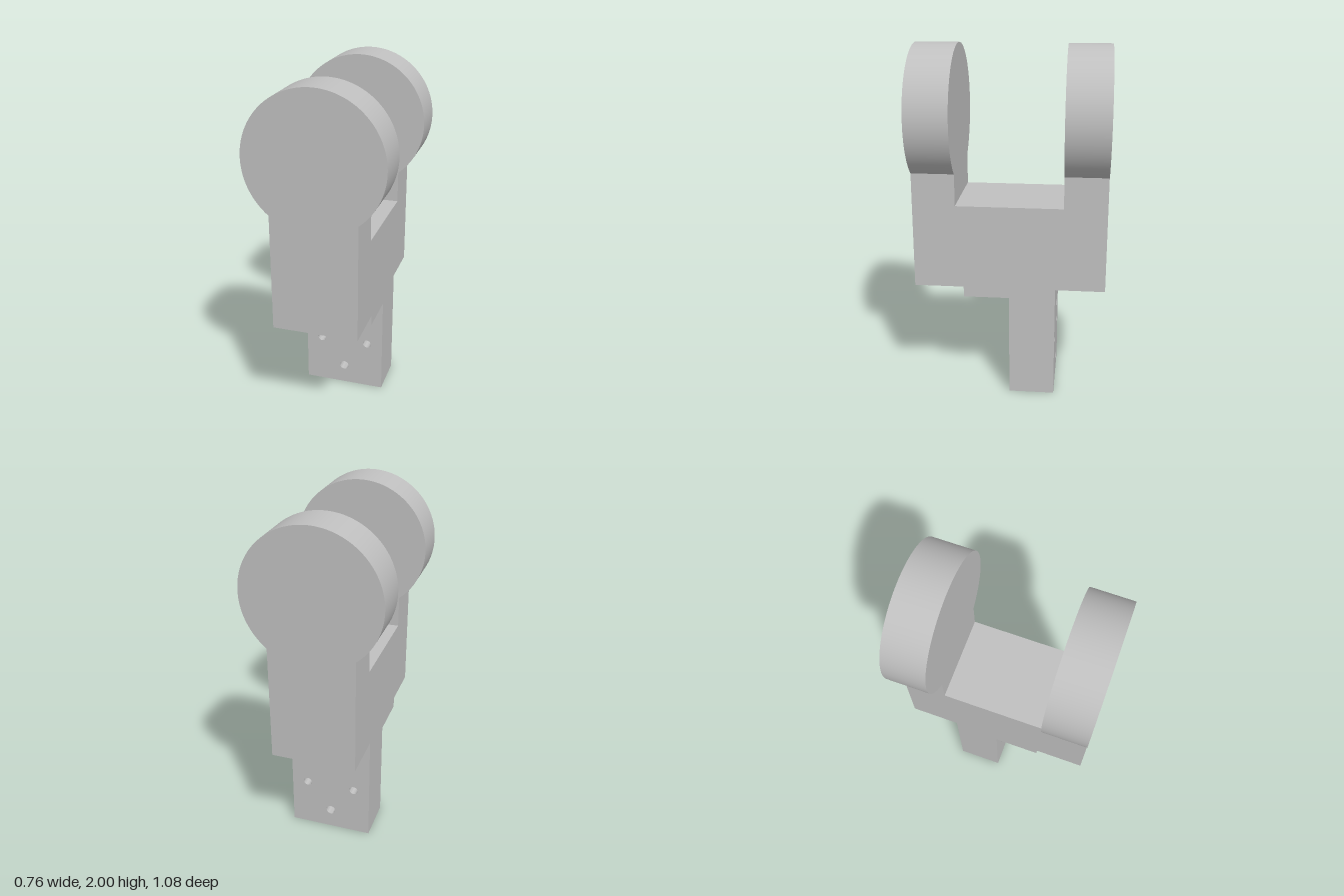
import * as THREE from 'three';
import { toCreasedNormals } from 'three/addons/utils/BufferGeometryUtils.js';

const HALF_WIDTH = 0.24;

export function createModel() {
  const model = new THREE.Group();
  model.name = 'forkBracket';
  const grey = new THREE.MeshStandardMaterial({ color: 0xc0c0c0 });
  grey.name = 'plain grey';

  const add = (name, geometry, x, y, z) => {
    const mesh = new THREE.Mesh(geometry, grey);
    mesh.name = name;
    mesh.position.set(x, y, z);
    model.add(mesh);
  };
  // Extrusion along z with smooth curved walls and sharp edges
  const extrude = (shape, depth, curveSegments) => toCreasedNormals(
    new THREE.ExtrudeGeometry(shape, { depth, curveSegments, bevelEnabled: false }), 0.6);

  // Fork arms: straight shank running into a round head
  const radius = 0.382, centreY = 1.618;
  const joinAngle = Math.acos(HALF_WIDTH / radius);
  const arm = new THREE.Shape();
  arm.moveTo(-HALF_WIDTH, 0.66);
  arm.lineTo(HALF_WIDTH, 0.66);
  arm.absarc(0, centreY, radius, -joinAngle, Math.PI + joinAngle, false);
  arm.closePath();
  const armGeometry = extrude(arm, 0.24, 72);
  add('frontArm', armGeometry, 0, 0, 0.3);
  add('backArm', armGeometry, 0, 0, -0.54);

  // Bridge joining the arms, with a shallow step below its front half
  add('bridge', new THREE.BoxGeometry(HALF_WIDTH * 2, 0.48, 0.6), 0, 0.9, 0);
  add('step', new THREE.BoxGeometry(HALF_WIDTH * 2, 0.06, 0.26), 0, 0.63, 0.13);

  // Mounting plate with four through holes
  const plate = new THREE.Shape();
  plate.moveTo(-HALF_WIDTH, 0);
  plate.lineTo(HALF_WIDTH, 0);
  plate.lineTo(HALF_WIDTH, 0.66);
  plate.lineTo(-HALF_WIDTH, 0.66);
  plate.closePath();
  for (const [x, y] of [[0, 0.12], [0, 0.48], [-0.144, 0.3], [0.144, 0.3]]) {
    const hole = new THREE.Path();
    hole.absarc(x, y, x ? 0.025 : 0.028, 0, Math.PI * 2, true);
    plate.holes.push(hole);
  }
  add('mountingPlate', extrude(plate, 0.26, 32), 0, 0, -0.26);

  return model;
}
